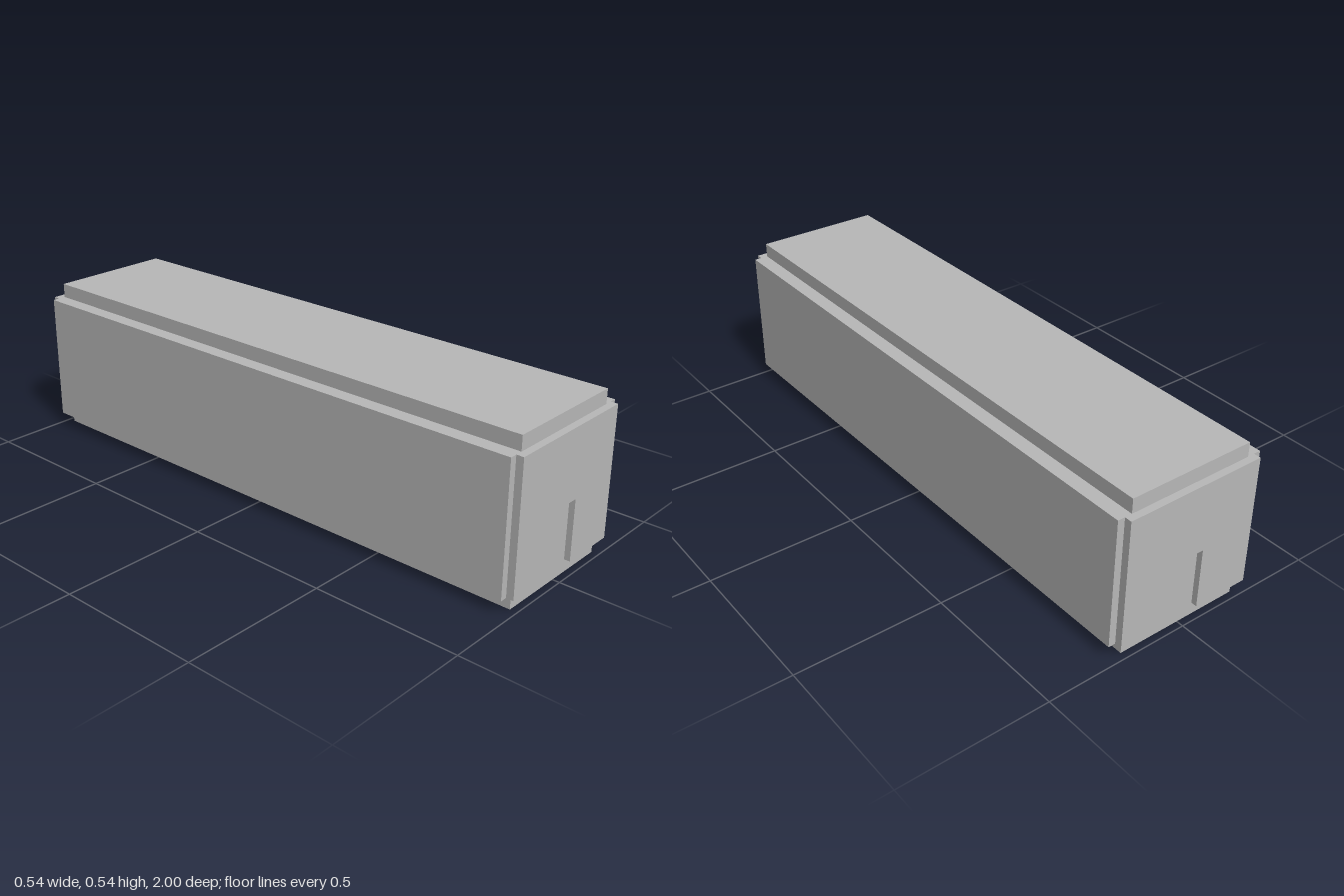
import * as THREE from 'three';

// Module size: the wall thickness, with 41 modules along the length
const U = 2 / 41;

export function createModel() {
  const group = new THREE.Group();
  const grey = new THREE.MeshStandardMaterial({ color: 0xb8b8b8 });
  grey.name = 'plain grey';

  const add = (name, geometry, x, y, z) => {
    const mesh = new THREE.Mesh(geometry, grey);
    mesh.name = name;
    mesh.position.set(x * U, y * U, z * U);
    group.add(mesh);
    return mesh;
  };
  const box = (w, h, d) => new THREE.BoxGeometry(w * U, h * U, d * U);

  // Floor and ceiling slabs
  add('floor', box(9, 1, 40), 0, 0.5, 0);
  add('ceiling', box(9, 1, 40), 0, 10.5, 0);

  // Long side walls
  for (const s of [1, -1]) {
    add(s > 0 ? 'leftWall' : 'rightWall', box(1, 9, 40), s * 5, 5.5, 0);
  }

  // End wall outline with a doorway notch, y measured from the floor top
  const outline = [[-5, 0], [-1, 0], [-1, 4.2], [1, 4.2], [1, 0], [5, 0], [5, 9], [-5, 9]];
  const shape = new THREE.Shape(outline.map(([x, y]) => new THREE.Vector2(x * U, y * U)));
  const endWall = new THREE.ExtrudeGeometry(shape, { depth: U, bevelEnabled: false });
  endWall.translate(0, 0, -U / 2);

  // End walls, each with a thin door set in the middle of its thickness
  for (const s of [1, -1]) {
    const end = s > 0 ? 'front' : 'back';
    add(end + 'Wall', endWall, 0, 1, s * 20);
    add(end + 'Door', box(2, 4.2, 0.2), 0, 3.1, s * 20);
  }

  return group;
}
